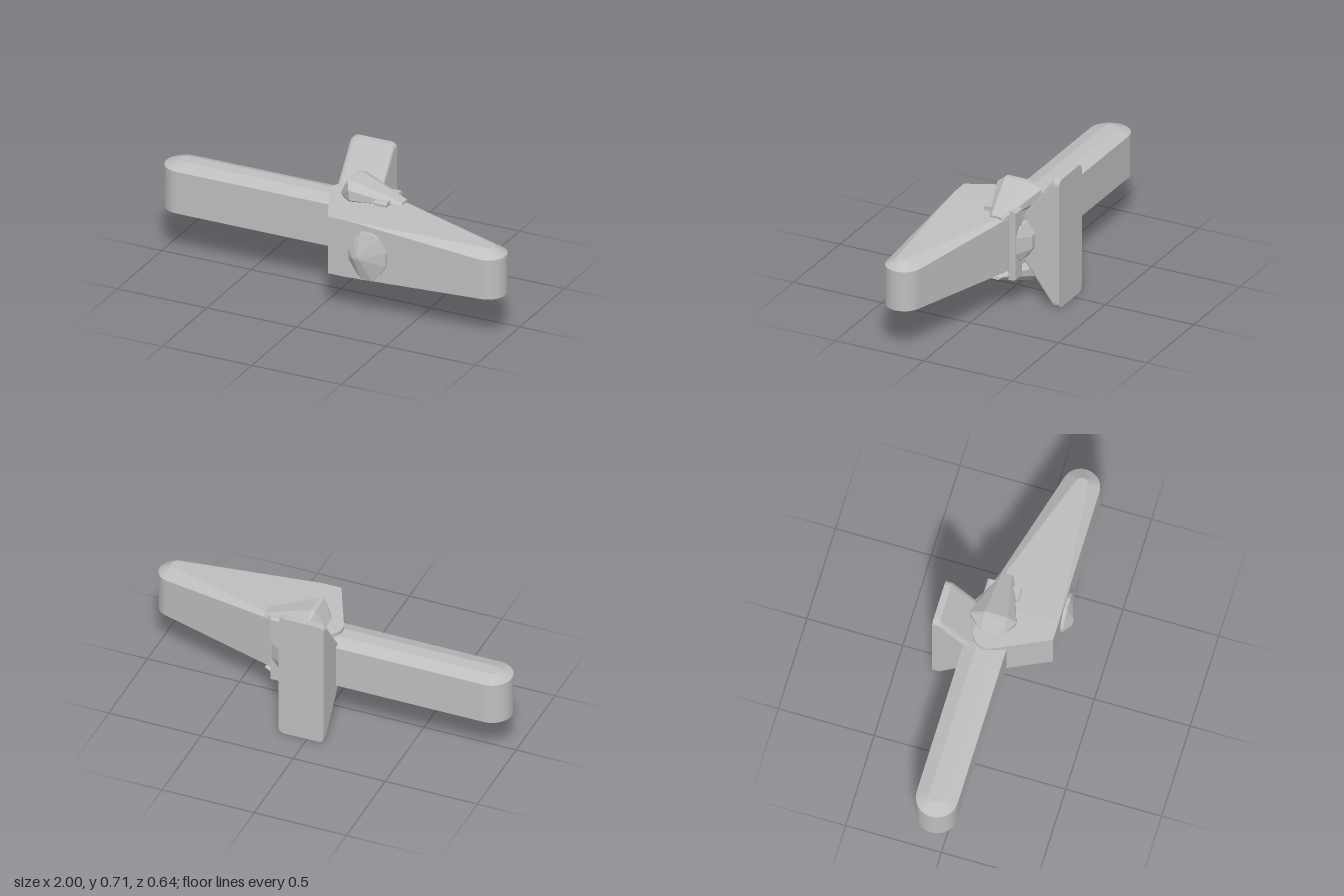
import * as THREE from 'three';
import { ConvexGeometry } from 'three/addons/geometries/ConvexGeometry.js';

const grey = new THREE.MeshStandardMaterial({ color: 0xbfbfbf });
grey.name = 'plain grey';

const V = (x, y, z) => new THREE.Vector3(x, y, z);

// Points on an arc in the ground plane (angle 0 = +x, 90 = +z)
function arc(cx, cz, r, from, to, n) {
  return Array.from({ length: n + 1 }, (_, i) => {
    const a = THREE.MathUtils.degToRad(from + (to - from) * i / n);
    return [cx + r * Math.cos(a), cz + r * Math.sin(a)];
  });
}

// Rounded rectangle ring in the xy plane at depth z
function roundedRing(cx, cy, hw, hh, r, z) {
  const points = [];
  for (const [sx, sy, start] of [[1, 1, 0], [-1, 1, 90], [-1, -1, 180], [1, -1, 270]]) {
    for (const [x, y] of arc(cx + sx * (hw - r), cy + sy * (hh - r), r, start, start + 90, 4)) {
      points.push(V(x, y, z));
    }
  }
  return points;
}

export function createModel() {
  const group = new THREE.Group();
  const add = (name, geometry) => {
    const mesh = new THREE.Mesh(geometry, grey);
    mesh.name = name;
    group.add(mesh);
    return mesh;
  };
  const hull = (name, points) => add(name, new ConvexGeometry(points));

  // Long bar with a round end and a chamfered top
  const bar = [];
  for (const [x, z] of [...arc(-0.893, -0.054, 0.107, 90, 270, 20), [0.04, -0.161], [0.04, 0.053]]) {
    bar.push(V(x, 0.25, z), V(x, 0.48, z));
  }
  for (const [x, z] of [...arc(-0.893, -0.059, 0.036, 90, 270, 10), [0.04, -0.095], [0.04, -0.023]]) {
    bar.push(V(x, 0.505, z));
  }
  hull('longBar', bar);

  // Tapered arm: round pivot at one side, narrow round tip at the other
  const arm = [];
  const root = [...arc(0.0, -0.05, 0.08, 155, 270, 10), [0.06, 0.267], [0.16, 0.267], [0.16, -0.122]];
  for (const [x, z] of root) arm.push(V(x, 0.212, z), V(x, 0.525, z));
  arm.push(V(0.29, 0.219, -0.1), V(0.29, 0.51, -0.1));
  for (const [x, z] of arc(0.903, 0.16, 0.097, -76, 90, 18)) arm.push(V(x, 0.244, z), V(x, 0.46, z));
  for (const [x, z] of arc(0.903, 0.163, 0.035, -76, 90, 8)) arm.push(V(x, 0.5, z));
  hull('taperedArm', arm);

  // Tall rear plate that narrows toward the pivot
  hull('rearPlate', [
    ...roundedRing(0.033, 0.353, 0.122, 0.353, 0.03, -0.32),
    ...roundedRing(0.033, 0.353, 0.122, 0.353, 0.03, -0.285),
    ...roundedRing(0.033, 0.353, 0.122, 0.143, 0.03, -0.125),
  ]);

  // Faceted wedges above and below; the lower is a half turn of the upper
  const wedge = [
    [0.0, 0.53, 0.0], [0.0, 0.53, -0.09], [0.02, 0.54, 0.03],
    [0.075, 0.59, 0.07], [0.08, 0.535, 0.07],
    [0.05, 0.625, 0.025], [0.075, 0.625, 0.025],
    [0.05, 0.625, -0.095], [0.075, 0.625, -0.095],
    [0.06, 0.59, -0.17], [0.065, 0.535, -0.17],
    [0.06, 0.48, 0.02], [0.06, 0.48, -0.12],
    [0.33, 0.53, -0.03], [0.33, 0.53, -0.08],
    [0.328, 0.515, -0.015], [0.328, 0.515, -0.092], [0.3, 0.49, -0.055],
  ];
  hull('upperWedge', wedge.map(([x, y, z]) => V(x, y, z)));
  hull('lowerWedge', wedge.map(([x, y, z]) => V(x, 0.71 - y, -0.1 - z)));

  // Notched collar behind the arm
  const outline = new THREE.Shape([
    [-0.035, 0.165], [0.002, 0.165], [0.002, 0.215], [0.095, 0.215], [0.095, 0.165], [0.13, 0.165],
    [0.138, 0.173], [0.138, 0.537], [0.13, 0.545], [0.095, 0.545], [0.095, 0.515],
    [0.002, 0.515], [0.002, 0.545], [-0.035, 0.545], [-0.042, 0.537], [-0.042, 0.173],
  ].map(([x, y]) => new THREE.Vector2(x, y)));
  const collar = new THREE.ExtrudeGeometry(outline, { depth: 0.07, bevelEnabled: false });
  collar.rotateY(Math.PI / 2);
  collar.translate(0.205, 0, 0);
  add('collar', collar);

  // Faceted stud at the back
  const rear = [];
  for (const y of [0.32, 0.39]) rear.push(V(0.16, y, -0.187), V(0.195, y, -0.187));
  for (const y of [0.26, 0.45]) rear.push(V(0.12, y, -0.145), V(0.23, y, -0.145), V(0.14, y, -0.1), V(0.25, y, -0.1));
  for (const y of [0.31, 0.4]) rear.push(V(0.09, y, -0.13), V(0.275, y, -0.135));
  hull('rearStud', rear);

  // Faceted stud on the front face
  const stud = [
    [0.25, 0.485], [0.31, 0.485], [0.345, 0.465], [0.39, 0.395], [0.39, 0.32], [0.355, 0.27],
    [0.315, 0.225], [0.255, 0.23], [0.225, 0.26], [0.18, 0.335], [0.18, 0.385], [0.215, 0.45],
  ];
  const front = [V(0.225, 0.345, 0.317), V(0.245, 0.365, 0.32), V(0.255, 0.35, 0.319)];
  for (const [x, y] of stud) front.push(V(x, y, 0.25), V(x, y, 0.283));
  hull('frontStud', front);

  return group;
}
